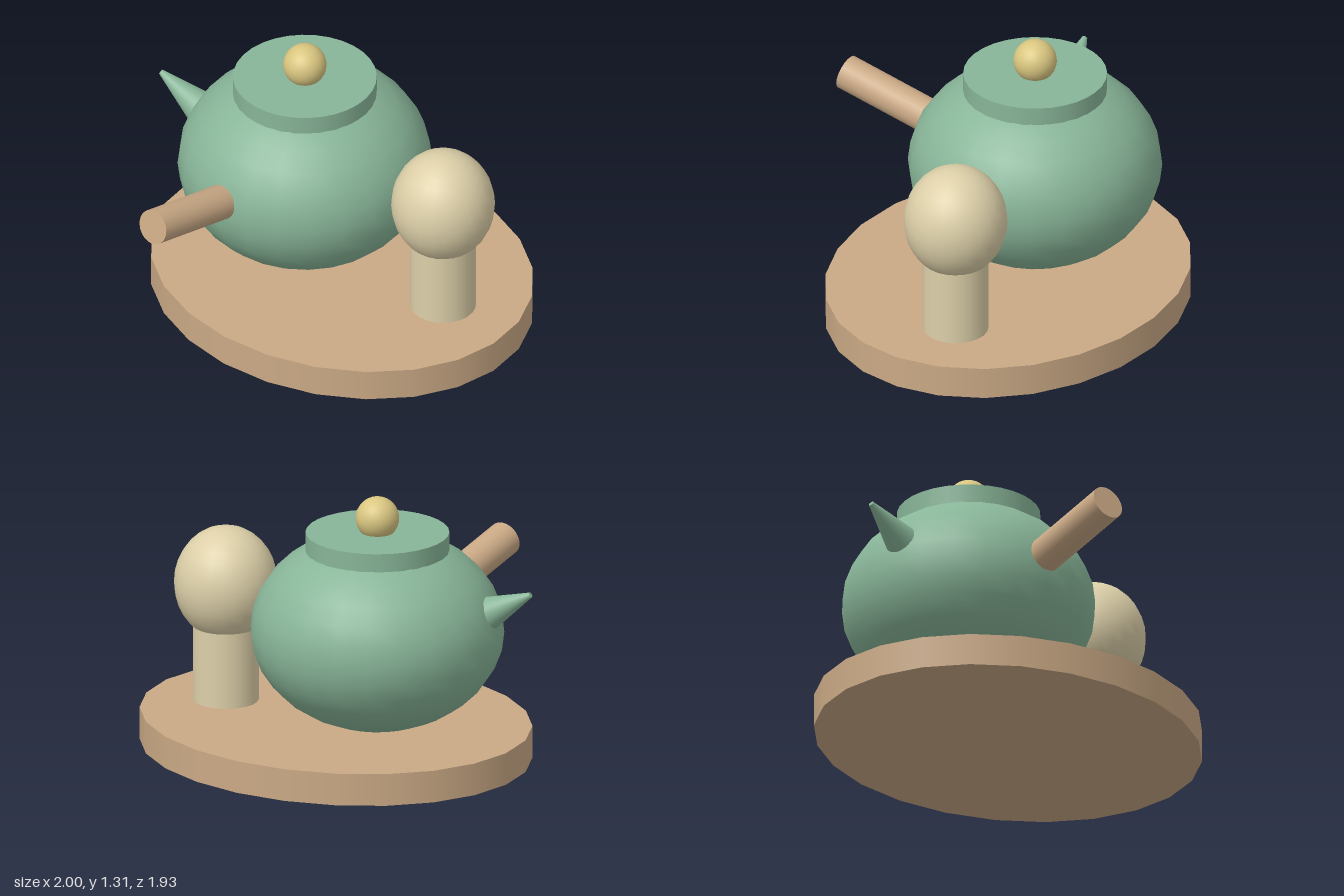
import * as THREE from 'three';

const material = (name, color) => {
  const m = new THREE.MeshStandardMaterial({ color });
  m.name = name;
  return m;
};

export function createModel() {
  const green = material('green glaze', 0x88b598);
  const tan = material('tan wood', 0xcaa985);
  const cream = material('cream', 0xdccfa8);
  const gold = material('gold', 0xd9c680);

  const group = new THREE.Group();
  const potX = -0.235, potZ = -0.13;

  const add = (name, geometry, mat, x, y, z) => {
    const mesh = new THREE.Mesh(geometry, mat);
    mesh.name = name;
    mesh.position.set(x, y, z);
    group.add(mesh);
    return mesh;
  };

  // Tapered rod running from point a to point b
  const rod = (name, mat, a, b, ra, rb) => {
    const from = new THREE.Vector3(...a), to = new THREE.Vector3(...b);
    const axis = to.clone().sub(from);
    const mid = from.clone().add(to).multiplyScalar(0.5);
    const mesh = add(name, new THREE.CylinderGeometry(rb, ra, axis.length(), 24), mat, mid.x, mid.y, mid.z);
    mesh.quaternion.setFromUnitVectors(new THREE.Vector3(0, 1, 0), axis.normalize());
  };

  // Oval tray
  add('tray', new THREE.CylinderGeometry(1, 1, 0.16, 24), tan, 0.007, 0.08, -0.13).scale.set(0.992, 1, 0.835);

  // Teapot body, lid and knob
  add('potBody', new THREE.SphereGeometry(1, 24, 16), green, potX, 0.65, potZ).scale.set(0.612, 0.485, 0.612);
  add('lid', new THREE.CylinderGeometry(0.346, 0.346, 0.1, 32), green, potX, 1.09, potZ);
  add('lidKnob', new THREE.SphereGeometry(0.105, 24, 16), gold, potX, 1.21, potZ);

  // Spout and side handle
  rod('spout', green, [-0.772, 0.785, 0.03], [-0.992, 0.908, 0.07], 0.083, 0.013);
  rod('handle', tan, [potX, 0.709, 0.459], [potX, 0.814, 0.946], 0.086, 0.086);

  // Round-topped cup standing on the tray
  add('cupStem', new THREE.CylinderGeometry(0.159, 0.159, 0.4, 24), cream, 0.597, 0.36, -0.208);
  add('cupBowl', new THREE.SphereGeometry(1, 24, 16), cream, 0.597, 0.75, -0.208).scale.set(0.25, 0.28, 0.25);

  return group;
}
